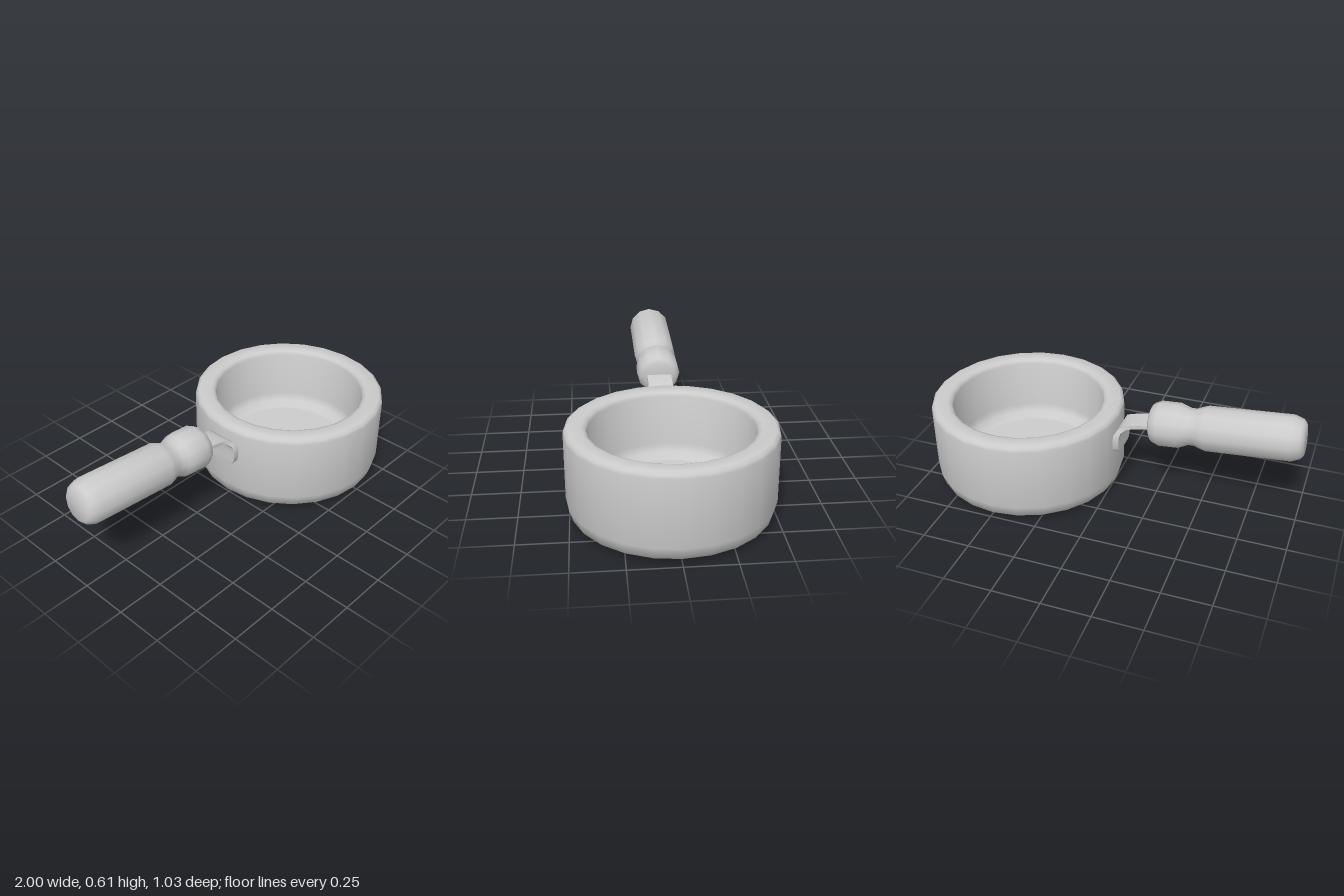
import * as THREE from 'three';
import { toCreasedNormals } from 'three/addons/utils/BufferGeometryUtils.js';

const material = new THREE.MeshStandardMaterial({ color: 0xcccccc });

function part(name, geometry, crease) {
  const mesh = new THREE.Mesh(toCreasedNormals(geometry, crease), material);
  mesh.name = name;
  return mesh;
}

function lathe(profile, sides) {
  return new THREE.LatheGeometry(profile.map(([r, y]) => new THREE.Vector2(r, y)), sides);
}

// Rectangular-section strip swept in the xy plane; each row is [x, y, half width, thickness]
function strip(rows) {
  const pos = [], index = [];
  rows.forEach(([x, y, w, t], i) => {
    const a = rows[Math.max(i - 1, 0)], b = rows[Math.min(i + 1, rows.length - 1)];
    const dx = b[0] - a[0], dy = b[1] - a[1], len = Math.hypot(dx, dy);
    const nx = -dy / len * t / 2, ny = dx / len * t / 2;
    pos.push(x + nx, y + ny, w, x + nx, y + ny, -w, x - nx, y - ny, -w, x - nx, y - ny, w);
  });
  for (let i = 0; i < rows.length - 1; i++) {
    for (let k = 0; k < 4; k++) {
      const a = i * 4 + k, b = i * 4 + (k + 1) % 4;
      index.push(a, a + 4, b, b, a + 4, b + 4);
    }
  }
  const e = (rows.length - 1) * 4;
  index.push(0, 1, 2, 0, 2, 3, e, e + 2, e + 1, e, e + 3, e + 2);
  const geometry = new THREE.BufferGeometry();
  geometry.setAttribute('position', new THREE.Float32BufferAttribute(pos, 3));
  geometry.setIndex(index);
  return geometry;
}

export function createModel() {
  const group = new THREE.Group();

  // Thick-walled pot with rounded base, rim and inner floor
  const pot = part('pot', lathe([
    [0, 0], [0.43, 0], [0.452, 0], [0.498, 0.03], [0.516, 0.09], [0.516, 0.43],
    [0.512, 0.447], [0.495, 0.459], [0.43, 0.459], [0.412, 0.452], [0.403, 0.435],
    [0.403, 0.17], [0.39, 0.125], [0.35, 0.1], [0.33, 0.1], [0, 0.1],
  ], 24), 0.9);
  pot.position.x = 0.482;
  group.add(pot);

  // Turned grip with a waist and a short bulb, tilted up away from the pot
  const grip = part('grip', lathe([
    [0, 0], [0.08, 0], [0.099, 0.015], [0.116, 0.06], [0.116, 0.49], [0.107, 0.52],
    [0.095, 0.55], [0.095, 0.58], [0.107, 0.61], [0.116, 0.635], [0.117, 0.735],
    [0.103, 0.772], [0.083, 0.784], [0, 0.784],
  ], 12), 0.9);
  grip.position.set(-0.994, 0.499, 0);
  grip.rotation.z = -Math.PI / 2 - 0.084;
  group.add(grip);

  // Bent metal strap flaring into a tab against the pot wall
  group.add(part('bracket', strip([
    [-0.27, 0.441, 0.065, 0.02], [-0.2, 0.434, 0.065, 0.02], [-0.13, 0.421, 0.065, 0.02],
    [-0.085, 0.407, 0.067, 0.022], [-0.06, 0.389, 0.085, 0.025], [-0.048, 0.362, 0.095, 0.03],
    [-0.046, 0.33, 0.095, 0.032], [-0.046, 0.285, 0.09, 0.032], [-0.046, 0.265, 0.078, 0.032],
    [-0.046, 0.256, 0.058, 0.03],
  ]), 0.7));

  return group;
}
